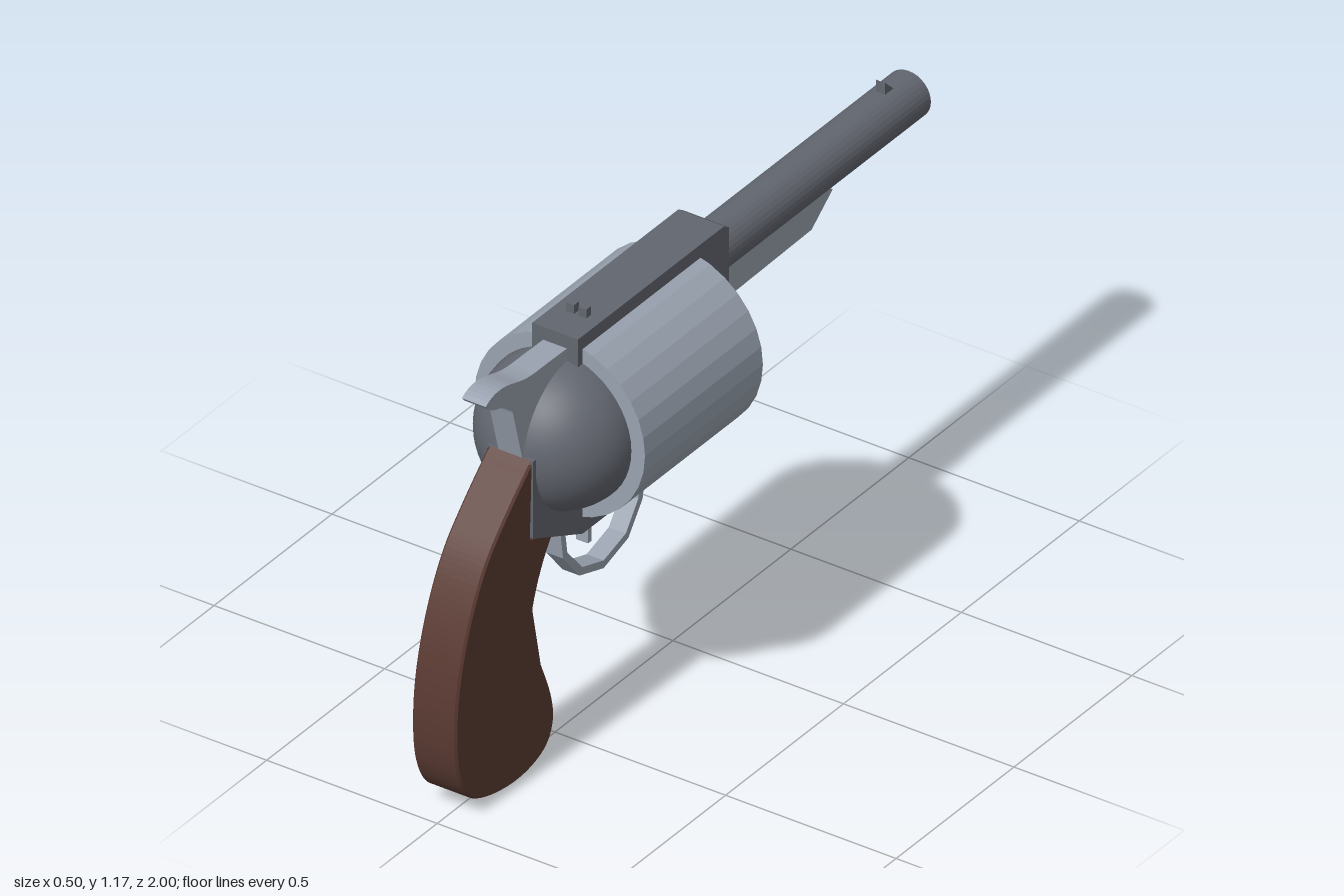
import * as THREE from 'three';

const STEEL = 0x62666f, LIGHT = 0x99a2af, WOOD = 0x5a3a32;

function mat(color, flat = true) {
  const m = new THREE.MeshStandardMaterial({ color });
  m.flatShading = flat;
  return m;
}

export function createModel() {
  const g = new THREE.Group();

  function add(name, geo, color, x = 0, y = 0, z = 0) {
    const mesh = new THREE.Mesh(geo, mat(color));
    mesh.name = name;
    mesh.position.set(x, y, z);
    g.add(mesh);
    return mesh;
  }

  // Turns a side outline of [z, y] points into a plate centred on x = 0
  function plate(shape, width, bevel = 0) {
    const depth = width - 2 * bevel;
    const geo = new THREE.ExtrudeGeometry(shape, {
      depth, bevelEnabled: bevel > 0, bevelSize: bevel, bevelOffset: -bevel,
      bevelThickness: bevel, bevelSegments: 1, curveSegments: 8,
    });
    return geo.translate(0, 0, -depth / 2).rotateY(-Math.PI / 2);
  }
  const outline = (pts) => new THREE.Shape(pts.map(([z, y]) => new THREE.Vector2(z, y)));

  // Frame with a window for the drum
  const frame = outline([
    [0.5, 1.15], [-0.12, 1.15], [-0.14, 1.137], [-0.14, 0.88], [-0.1, 0.88], [-0.1, 0.605],
    [-0.06, 0.585], [0.48, 0.585], [0.69, 0.68], [0.69, 0.9], [0.55, 0.9], [0.5, 1.06],
  ]);
  frame.holes.push(new THREE.Path([
    new THREE.Vector2(0, 0.64), new THREE.Vector2(0, 1.1),
    new THREE.Vector2(0.46, 1.1), new THREE.Vector2(0.46, 0.64),
  ]));
  add('frame', plate(frame, 0.134), STEEL);

  // Drum, its rounded rear shield and the small raised marks on its front face
  add('drum', new THREE.CylinderGeometry(0.25, 0.25, 0.5, 32).rotateX(Math.PI / 2), LIGHT, 0, 0.873, 0.23);
  const shield = add('rearShield',
    new THREE.SphereGeometry(0.21, 48, 16, 0, Math.PI * 2, 0, Math.PI / 2).rotateX(Math.PI / 2),
    STEEL, 0, 0.873, 0.48);
  shield.material.flatShading = false;
  for (const [x, y] of [[0.16, 0.9], [0.13, 0.7]]) {
    const mark = add('drumMark', new THREE.SphereGeometry(1, 10, 6), LIGHT, x, y, -0.02);
    mark.scale.set(0.055, 0.014, 0.004);
    mark.rotation.z = 0.6;
  }

  // Hollow barrel
  const bore = [[0, -0.3], [0.052, -0.3], [0.052, -1], [0.065, -1], [0.065, -0.12]];
  const barrel = new THREE.LatheGeometry(
    bore.map(([r, z]) => new THREE.Vector2(r, z)), 32).rotateX(Math.PI / 2);
  add('barrel', barrel, STEEL, 0, 1.045, 0).material.side = THREE.DoubleSide;
  add('barrelLug', plate(outline([
    [-0.13, 0.908], [-0.13, 1.03], [-0.56, 1.03], [-0.62, 0.985], [-0.53, 0.916],
  ]), 0.08), LIGHT);

  // Sights
  add('frontSight', plate(outline([
    [-0.88, 1.1], [-0.88, 1.143], [-0.915, 1.11], [-0.915, 1.1],
  ]), 0.026), STEEL);
  for (const s of [-1, 1]) {
    add('rearSight', new THREE.BoxGeometry(0.023, 0.04, 0.02), STEEL, s * 0.018, 1.155, 0.4);
  }

  // Hammer with a curved thumb spur
  const hammer = new THREE.Shape();
  hammer.moveTo(0.48, 0.9);
  hammer.lineTo(0.69, 0.9);
  hammer.lineTo(0.73, 1.05);
  hammer.quadraticCurveTo(0.745, 1.082, 0.79, 1.092);
  hammer.quadraticCurveTo(0.825, 1.1, 0.845, 1.126);
  hammer.quadraticCurveTo(0.8, 1.158, 0.72, 1.13);
  hammer.quadraticCurveTo(0.67, 1.113, 0.62, 1.115);
  hammer.lineTo(0.48, 1.113);
  add('hammer', plate(hammer, 0.07), LIGHT);

  // Trigger guard: a bent strip made from an outer and an inner run
  const outer = [[0.515, 0.6], [0.502, 0.51], [0.432, 0.425], [0.33, 0.393], [0.225, 0.425], [0.165, 0.505], [0.148, 0.6]];
  const inner = [[0.168, 0.6], [0.183, 0.515], [0.236, 0.443], [0.33, 0.415], [0.42, 0.443], [0.484, 0.518], [0.496, 0.6]];
  add('triggerGuard', plate(outline([...outer, ...inner]), 0.05), LIGHT);
  add('trigger', new THREE.BoxGeometry(0.035, 0.12, 0.016), LIGHT, 0, 0.55, 0.378);

  // Grip, leaning slightly toward -x at the bottom
  const v = (pts) => pts.map(([z, y]) => new THREE.Vector2(z, y));
  const grip = new THREE.Shape();
  grip.moveTo(0.69, 0.9);
  grip.splineThru(v([[0.8, 0.795], [0.885, 0.695], [0.95, 0.56], [0.99, 0.41], [1, 0.27], [0.985, 0.15],
    [0.94, 0.068], [0.87, 0.028], [0.77, 0.006], [0.68, 0.01], [0.61, 0.04], [0.58, 0.1], [0.59, 0.18], [0.635, 0.29]]));
  grip.lineTo(0.675, 0.47);
  grip.quadraticCurveTo(0.65, 0.57, 0.59, 0.65);
  grip.lineTo(0.69, 0.68);
  const gripGeo = plate(grip, 0.13, 0.006);
  const p = gripGeo.attributes.position;
  for (let i = 0; i < p.count; i++) p.setX(i, p.getX(i) - 0.014 * (0.9 - p.getY(i)) / 0.9);
  gripGeo.computeVertexNormals();
  add('grip', gripGeo, WOOD);

  return g;
}
